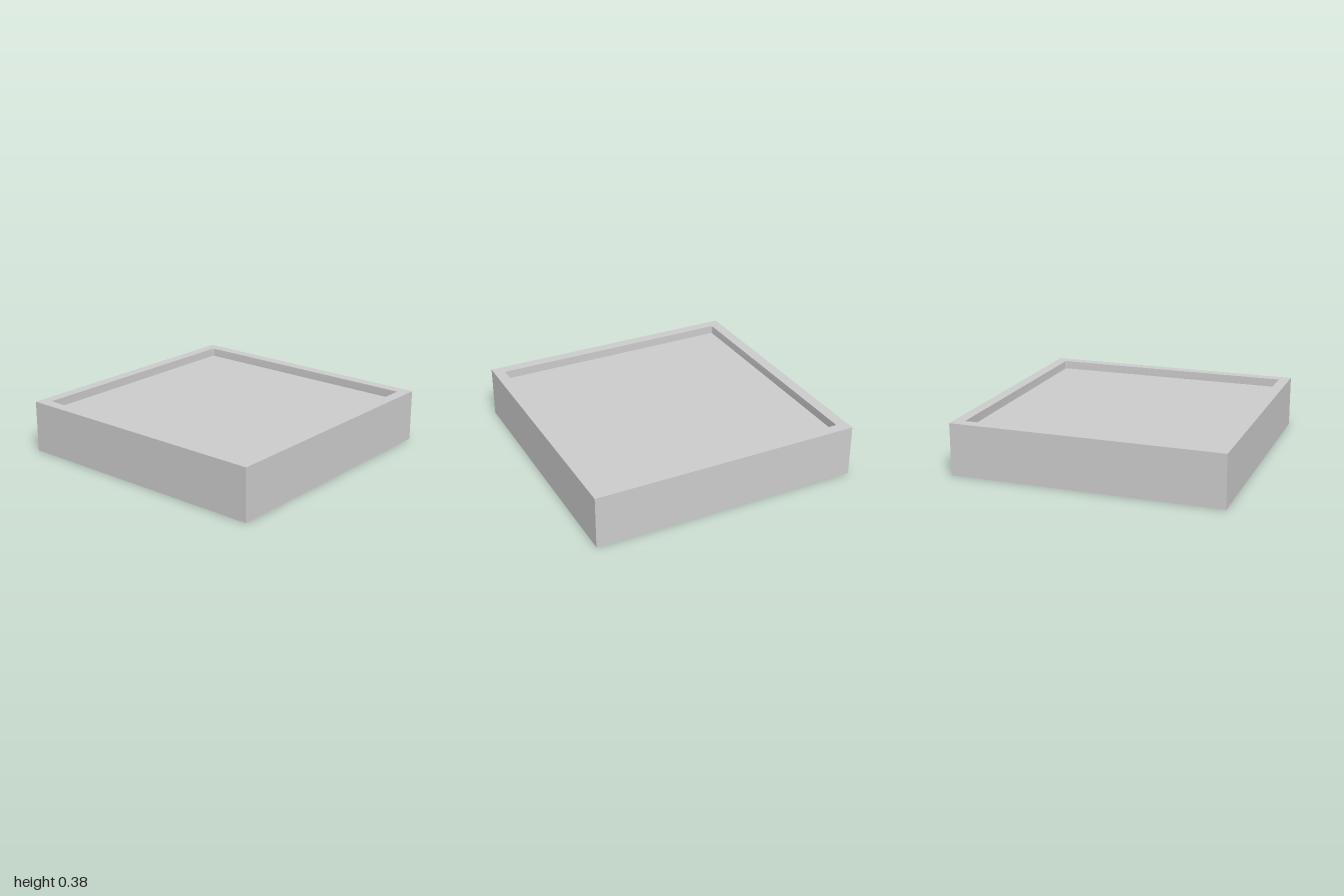
import * as THREE from 'three';
import { toCreasedNormals } from 'three/addons/utils/BufferGeometryUtils.js';

const HEIGHT = 0.385, FLOOR = 0.322, INNER = 0.918, FILLET = 0.012, STEPS = 4;

// Square loop, counter-clockwise from above, with optionally rounded corners
function ring([half, y, radius]) {
  const points = [];
  for (let corner = 0; corner < 4; corner++) {
    const mid = Math.PI / 4 + corner * Math.PI / 2;
    const cx = Math.sign(Math.cos(mid)) * (half - radius);
    const cz = -Math.sign(Math.sin(mid)) * (half - radius);
    for (let i = 0; i <= STEPS; i++) {
      const a = mid + (i / STEPS - 0.5) * Math.PI / 2;
      points.push(new THREE.Vector3(cx + radius * Math.cos(a), y, cz - radius * Math.sin(a)));
    }
  }
  return points;
}

// Skin consecutive loops, leaving out collapsed triangles
function loft(rings) {
  const points = [];
  const add = (...tri) => {
    if (new THREE.Triangle(...tri).getArea() > 1e-9) points.push(...tri);
  };
  for (let r = 0; r < rings.length - 1; r++) {
    const lower = rings[r], upper = rings[r + 1], n = lower.length;
    for (let i = 0; i < n; i++) {
      const j = (i + 1) % n;
      add(lower[i], lower[j], upper[j]);
      add(lower[i], upper[j], upper[i]);
    }
  }
  return toCreasedNormals(new THREE.BufferGeometry().setFromPoints(points), Math.PI / 6);
}

export function createModel() {
  const group = new THREE.Group();
  group.name = 'squareTray';

  // Profile rows [half width, height, corner radius]: underside, outer wall, rim, recess
  const profile = [
    [0, 0, 0],
    [1, 0, 0],
    [1, HEIGHT, 0],
    [INNER, HEIGHT, FILLET],
    [INNER, FLOOR, FILLET],
    [0, FLOOR, 0],
  ];
  const tray = new THREE.Mesh(
    loft(profile.map(ring)),
    new THREE.MeshStandardMaterial({ color: 0xcccccc })
  );
  tray.name = 'recessedBlock';
  group.add(tray);
  return group;
}
